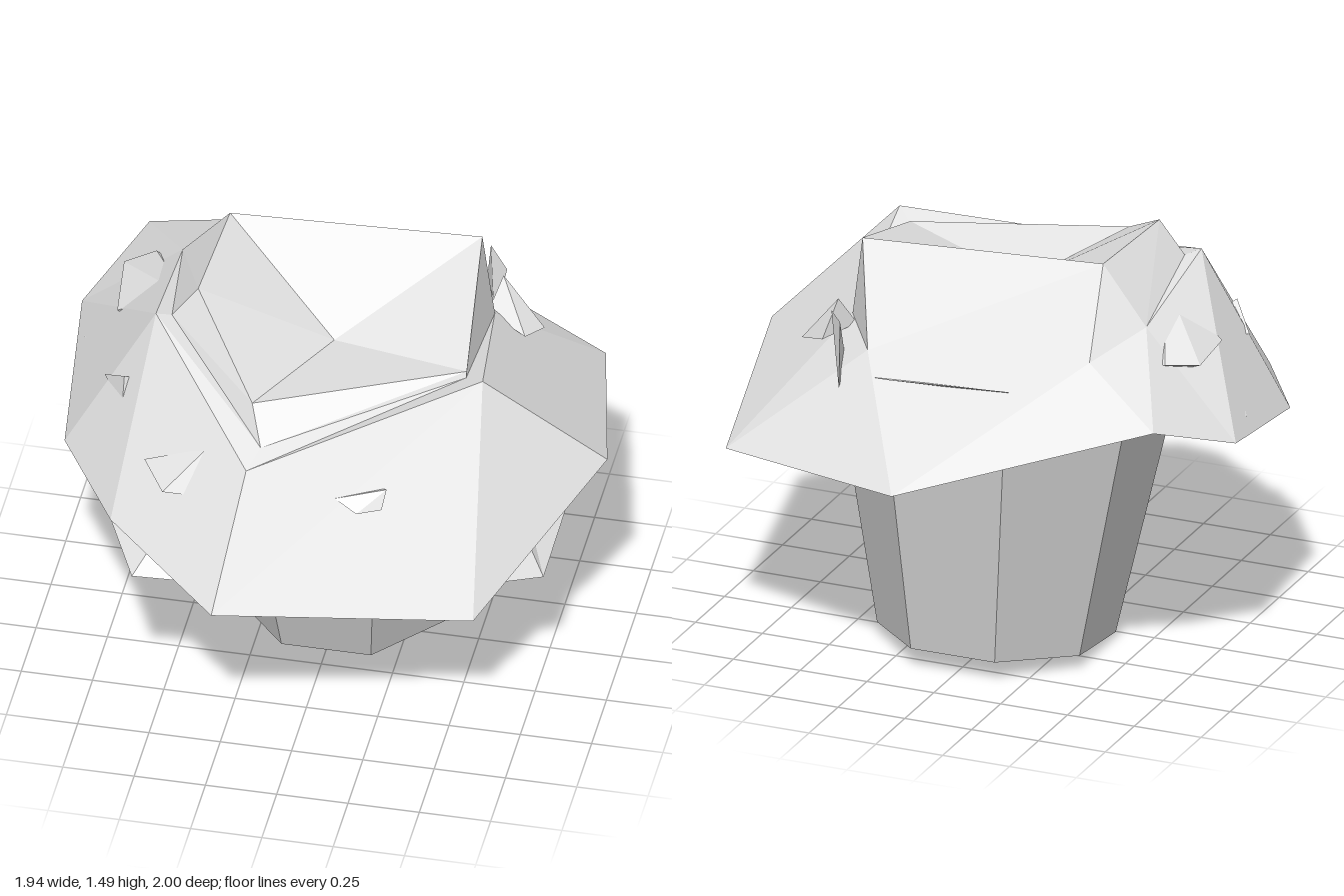
import * as THREE from 'three';
import { ConvexGeometry } from 'three/addons/geometries/ConvexGeometry.js';

const flat = (name, color) => {
  const m = new THREE.MeshStandardMaterial({ color, flatShading: true, side: THREE.DoubleSide });
  m.name = name;
  return m;
};
const stemGrey = flat('stemGrey', 0xcccccc);
const capGrey = flat('capGrey', 0xe6e6e6);

// Faceted skin through rings of equal length; a ring of one point closes to a tip
function loft(rings) {
  const pos = [];
  const tri = (a, b, c) => {
    const ab = new THREE.Vector3(...b).sub(new THREE.Vector3(...a));
    const ac = new THREE.Vector3(...c).sub(new THREE.Vector3(...a));
    if (ab.cross(ac).length() > 1e-6) pos.push(...a, ...b, ...c);
  };
  const at = (ring, i) => ring[i % ring.length];
  for (let r = 0; r < rings.length - 1; r++) {
    const lo = rings[r], hi = rings[r + 1];
    for (let i = 0; i < lo.length; i++) {
      tri(at(lo, i), at(lo, i + 1), at(hi, i + 1));
      tri(at(lo, i), at(hi, i + 1), at(hi, i));
    }
  }
  const g = new THREE.BufferGeometry();
  g.setAttribute('position', new THREE.Float32BufferAttribute(pos, 3));
  g.computeVertexNormals();
  return g;
}

function hull(points) {
  return new ConvexGeometry(points.map((p) => new THREE.Vector3(...p)));
}

export function createModel() {
  const model = new THREE.Group();
  const add = (name, geometry, material, parent = model) => {
    const mesh = new THREE.Mesh(geometry, material);
    mesh.name = name;
    parent.add(mesh);
  };

  // Tilted eight-sided stem with a flared lip
  const stem = new THREE.Group();
  stem.name = 'stem';
  stem.position.set(0, 0.041, -0.21);
  stem.rotation.x = 0.1;
  model.add(stem);
  const section = (bottom, top, height, y, name) => {
    const g = new THREE.CylinderGeometry(top, bottom, height, 8);
    g.rotateY(Math.PI / 8);
    g.translate(0, y + height / 2, 0);
    add(name, g, stemGrey, stem);
  };
  section(0.41, 0.575, 0.83, 0, 'stemWall');
  section(0.575, 0.645, 0.04, 0.83, 'stemFlare');
  section(0.645, 0.645, 0.05, 0.87, 'stemLip');

  // Open cap shell: brim, shoulder, crown and shallow hollow
  const frontLeft = [-0.59, 1.39, 0.2];
  const frontRight = [0.57, 1.33, 0.27];
  const backRight = [0.44, 1.47, -0.35];
  const backLeft = [-0.43, 1.49, -0.28];
  const peak = [-0.45, 1.49, 0.16];
  const lipRight = [0.5, 1.31, 0.2];
  const footRight = [0.5, 1.29, 0.21];
  const footLeft = [-0.54, 1.37, 0.17];
  const back = [[0.49, 1.17, -0.32], [0.33, 1.15, -0.56], [-0.5, 1.24, -0.56], [-0.6, 1.29, -0.3]];
  const brim = [
    [-0.23, 0.74, 1], [0.63, 0.64, 0.72], [0.97, 0.92, 0.09],
    [0.8, 0.76, -0.7], [0.05, 0.82, -1], [-0.8, 1.08, -0.7],
    [-0.97, 0.95, -0.38], [-0.9, 0.83, 0.25], [-0.66, 0.81, 0.63],
  ];
  const shoulder = [[-0.17, 1.15, 0.7], frontRight, frontRight, ...back, frontLeft, frontLeft];
  const foot = [[-0.14, 1.18, 0.6], footRight, footRight, ...back, footLeft, footLeft];
  const crown = [[-0.19, 1.29, 0.5], lipRight, lipRight, backRight, backRight, backLeft, backLeft, peak, peak];
  add('cap', loft([brim, shoulder, foot, crown, [[0, 1.24, 0.03]]]), capGrey);

  // Open inner skirt whose corners hang below the brim
  const skirtEdge = [
    [-0.55, 0.71, 0.8], [0.28, 0.73, 0.78], [0.8, 0.58, 0.35], [0.83, 0.72, -0.33],
    [0.33, 1.05, -0.62], [-0.25, 1.08, -0.65], [-0.72, 1.08, -0.35], [-0.86, 0.83, 0.2],
  ];
  const skirtTop = [
    [-0.3, 1.1, 0.45], [0.3, 1.1, 0.45], [0.5, 1.1, 0.15], [0.45, 1.1, -0.3],
    [0.2, 1.12, -0.45], [-0.3, 1.15, -0.45], [-0.5, 1.15, -0.3], [-0.55, 1.1, 0.1],
  ];
  add('skirt', loft([skirtEdge, skirtTop]), capGrey);

  // Small chips that break through the cap
  const chips = {
    frontChipLeft: [[-0.56, 1.02, 0.54], [-0.33, 1.14, 0.59], [-0.38, 0.99, 0.67], [-0.47, 0.99, 0.67], [-0.4, 1.0, 0.5]],
    frontChipRight: [[0.13, 1.04, 0.65], [0.3, 1.06, 0.59], [0.29, 1.0, 0.63], [0.21, 1.0, 0.67], [0.2, 1.0, 0.5]],
    leftLeaf: [[-0.81, 1.19, -0.32], [-0.71, 1.2, -0.39], [-0.78, 1.18, -0.06], [-0.52, 1.35, 0.03], [-0.56, 1.17, -0.32], [-0.6, 1.05, -0.1]],
    lowerLeftChip: [[-0.92, 0.96, -0.17], [-0.9, 0.98, -0.25], [-0.77, 1.1, 0.06], [-0.7, 0.95, 0.34], [-0.6, 0.95, 0.1]],
    cornerChip: [[-0.77, 1.1, 0.2], [-0.68, 1.18, 0.3], [-0.68, 1.07, 0.34], [-0.55, 1.1, 0.2]],
    rightSpike: [[0.5, 1.26, -0.42], [0.65, 1.08, -0.39], [0.6, 1.1, -0.3], [0.53, 1.13, -0.49], [0.46, 1.15, -0.35]],
    backSpike: [[0.42, 1.25, -0.59], [0.39, 1.04, -0.67], [0.5, 1.24, -0.48], [0.46, 1.05, -0.45]],
    backRidge: [[-0.26, 1.14, -0.69], [0.2, 1.11, -0.69], [0.31, 1.08, -0.62], [-0.2, 1.1, -0.62]],
  };
  for (const [name, points] of Object.entries(chips)) add(name, hull(points), capGrey);

  return model;
}
